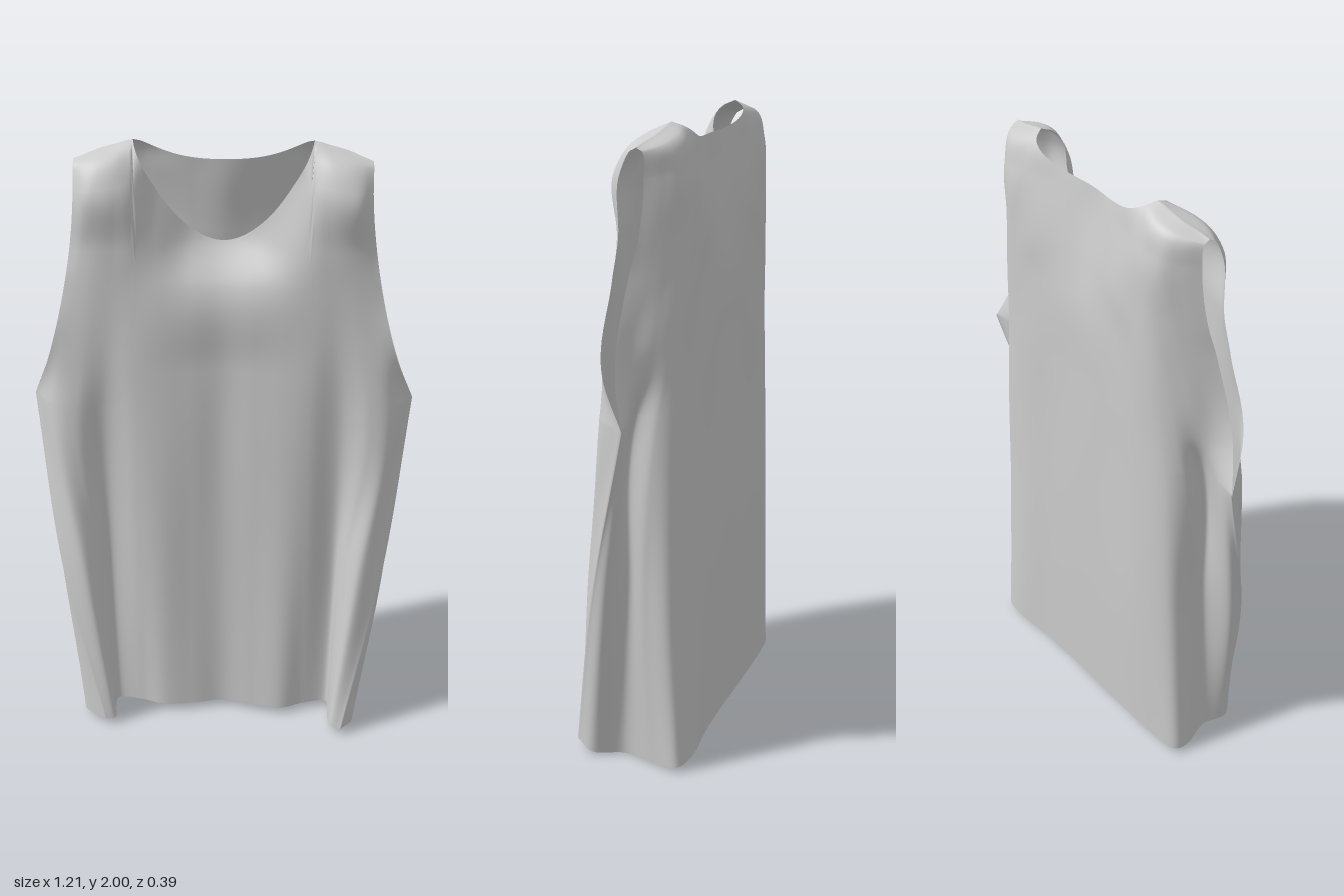
import * as THREE from 'three';
import { mergeGeometries, mergeVertices } from 'three/addons/utils/BufferGeometryUtils.js';

// Heights of the cross-sections, hem to shoulder, and their distance along the cloth
const levelY = [0.025, 0.6, 1.17, 1.3, 1.57, 1.7, 1.885, 1.98, 2.0];
const levelKnots = [0, 0.57, 1.14, 1.27, 1.54, 1.68, 1.87, 1.98, 2.035];
const nodeKnots = [0, 1, 2, 3, 4, 5, 6, 7];
const ARMPIT = 2, TOP = 8, NECK_NODE = 3, LAST_NODE = 7;
// Shoulder slope: drop of each node at the top
const shoulderDrop = [0, 0, 0, 0, 0.012, 0.025, 0.038, 0.05];

// Half cross-sections from the centre (node 0) to the side fold / armhole (node 7)
const shoulderX = [0, 0.1, 0.2, 0.27, 0.32, 0.37, 0.41, 0.445];
const shoulderZ = [-0.1, -0.1, -0.09, -0.085, -0.08, -0.075, -0.06, -0.05];
const front = {
  x: [
    [0, 0.1, 0.2, 0.28, 0.36, 0.365, 0.37, 0.41],
    [0, 0.1, 0.2, 0.28, 0.37, 0.4, 0.45, 0.53],
    [0, 0.1, 0.2, 0.28, 0.37, 0.46, 0.54, 0.605],
    [0, 0.1, 0.2, 0.28, 0.36, 0.44, 0.505, 0.555],
    [0, 0.1, 0.2, 0.275, 0.34, 0.4, 0.445, 0.484],
    [0, 0.1, 0.2, 0.27, 0.33, 0.38, 0.425, 0.463],
    shoulderX, shoulderX, shoulderX,
  ],
  z: [
    [0.04, 0.06, 0.08, 0.05, 0.035, 0.1, 0.17, 0.19],
    [0.03, 0.045, 0.062, 0.05, 0.02, 0.07, 0.12, 0.075],
    [0.02, 0.035, 0.047, 0.045, 0.025, 0.05, 0.03, -0.065],
    [0.018, 0.03, 0.042, 0.043, 0.03, 0.04, 0.035, 0.012],
    [0.008, 0.018, 0.032, 0.035, 0.033, 0.03, 0.022, 0.012],
    [-0.08, -0.06, 0, 0.03, 0.035, 0.032, 0.02, 0],
    [-0.09, -0.08, -0.045, 0.012, 0.035, 0.042, 0.035, 0.005],
    [-0.1, -0.09, -0.05, -0.043, -0.025, -0.018, -0.02, -0.03],
    shoulderZ,
  ],
  neck: (x) => 1.69 + 0.31 * (x / 0.27) ** 2,
  hemDip: 0,
};
const back = {
  x: [
    [0, 0.2, 0.37, 0.45, 0.43, 0.4, 0.45, 0.41],
    [0, 0.16, 0.32, 0.44, 0.455, 0.45, 0.53, 0.53],
    [0, 0.14, 0.28, 0.39, 0.44, 0.45, 0.54, 0.605],
    [0, 0.13, 0.26, 0.365, 0.42, 0.455, 0.505, 0.555],
    [0, 0.12, 0.23, 0.315, 0.37, 0.415, 0.45, 0.484],
    [0, 0.1, 0.2, 0.28, 0.34, 0.39, 0.43, 0.463],
    shoulderX, shoulderX, shoulderX,
  ],
  z: [
    [-0.175, -0.18, -0.195, -0.17, -0.08, 0.03, 0.12, 0.19],
    [-0.18, -0.18, -0.185, -0.15, -0.07, -0.01, 0.025, 0.075],
    [-0.175, -0.175, -0.18, -0.16, -0.11, -0.04, -0.055, -0.065],
    [-0.172, -0.175, -0.18, -0.165, -0.13, -0.08, -0.045, -0.025],
    [-0.165, -0.17, -0.175, -0.175, -0.16, -0.12, -0.08, -0.035],
    [-0.145, -0.157, -0.174, -0.175, -0.17, -0.14, -0.1, -0.06],
    [-0.11, -0.125, -0.145, -0.16, -0.163, -0.152, -0.115, -0.072],
    [-0.1, -0.105, -0.12, -0.125, -0.13, -0.122, -0.1, -0.068],
    shoulderZ,
  ],
  neck: (x) => 1.935 + 0.065 * (x / 0.27) ** 3,
  hemDip: 0.025,
};

// The right side hangs differently at the hem
const withHem = (p, hx, hz, hemDip) =>
  ({ ...p, x: [hx, ...p.x.slice(1)], z: [hz, ...p.z.slice(1)], hemDip });
const frontRight = withHem(front,
  [0, 0.1, 0.2, 0.28, 0.36, 0.37, 0.365, 0.4],
  [0.04, 0.06, 0.07, 0.045, 0.035, 0.09, 0.145, 0.157], 0);
const backRight = withHem(back,
  [0, 0.2, 0.38, 0.48, 0.495, 0.46, 0.475, 0.4],
  [-0.175, -0.175, -0.17, -0.155, -0.1, 0, 0.09, 0.157], 0.008);

// Smooth interpolation over uneven knots; mirror = -1 / 1 for odd / even about the start
function spline(a, knots, t, mirror = 0) {
  const last = a.length - 1, i = Math.min(Math.floor(t), last - 1), f = t - i;
  const rate = (k) => (a[k + 1] - a[k]) / (knots[k + 1] - knots[k]);
  const tangent = (k) => {
    if (k === 0) return mirror === 1 ? 0 : rate(0);
    if (k === last) return rate(last - 1);
    const h0 = knots[k] - knots[k - 1], h1 = knots[k + 1] - knots[k];
    return (rate(k - 1) * h1 + rate(k) * h0) / (h0 + h1);
  };
  const h = knots[i + 1] - knots[i], d = a[i] - a[i + 1];
  const m1 = tangent(i) * h, m2 = tangent(i + 1) * h;
  return a[i] + f * (m1 + f * (-3 * d - 2 * m1 - m2 + f * (2 * d + m1 + m2)));
}

// Interpolation up the cloth, with a corner at the armpit towards the side edge
function upCloth(a, u, t) {
  const corner = t <= ARMPIT
    ? spline(a.slice(0, ARMPIT + 1), levelKnots, t)
    : spline(a.slice(ARMPIT), levelKnots.slice(ARMPIT), t - ARMPIT);
  return THREE.MathUtils.lerp(spline(a, levelKnots, t), corner, THREE.MathUtils.smoothstep(u, 5, LAST_NODE));
}

function pointOn(panel, u, t) {
  const { smoothstep } = THREE.MathUtils;
  const x = upCloth(panel.x.map((r) => spline(r, nodeKnots, u, -1)), u, t);
  const z = upCloth(panel.z.map((r) => spline(r, nodeKnots, u, 1)), u, t);
  const drop = smoothstep(t, 4, TOP) * spline(shoulderDrop, nodeKnots, u, 1);
  const dip = panel.hemDip * smoothstep(u, 2, 5) * (1 - smoothstep(u, 5, 7)) * Math.max(0, 1 - t);
  return [x, upCloth(levelY, u, t) - drop - dip, z];
}

// Highest level a column reaches before the neckline cuts it
function columnTop(panel, u) {
  if (u >= NECK_NODE) return TOP;
  let lo = ARMPIT, hi = TOP;
  for (let k = 0; k < 30; k++) {
    const mid = (lo + hi) / 2, [x, y] = pointOn(panel, u, mid);
    if (y < panel.neck(x)) lo = mid; else hi = mid;
  }
  return lo;
}

// One quarter of the cloth: a grid from centre to side, hem to neckline or shoulder
function clothQuarter(panel, side, facing) {
  const cols = 70, rows = 96, pos = [], index = [];
  for (let i = 0; i <= cols; i++) {
    const u = (LAST_NODE * i) / cols, top = columnTop(panel, u);
    for (let j = 0; j <= rows; j++) {
      const [x, y, z] = pointOn(panel, u, (top * j) / rows);
      pos.push(side * x, y, z);
    }
  }
  for (let i = 0; i < cols; i++) for (let j = 0; j < rows; j++) {
    const a = i * (rows + 1) + j, b = a + rows + 1;
    if (side * facing > 0) index.push(a, b, b + 1, a, b + 1, a + 1);
    else index.push(a, b + 1, b, a, a + 1, b + 1);
  }
  const g = new THREE.BufferGeometry();
  g.setAttribute('position', new THREE.Float32BufferAttribute(pos, 3));
  g.setIndex(index);
  return g;
}

export function createModel() {
  const cloth = new THREE.MeshStandardMaterial({ color: 0xcccccc, side: THREE.DoubleSide });
  cloth.name = 'light grey cloth';

  // Quarters welded so shading runs smoothly over seams and shoulders
  const geometry = mergeVertices(mergeGeometries([
    clothQuarter(front, 1, 1),
    clothQuarter(frontRight, -1, 1),
    clothQuarter(back, 1, -1),
    clothQuarter(backRight, -1, -1),
  ]), 1e-5);
  geometry.computeVertexNormals();

  const top = new THREE.Mesh(geometry, cloth);
  top.name = 'sleevelessTop';
  const group = new THREE.Group();
  group.name = 'garment';
  group.add(top);
  return group;
}
